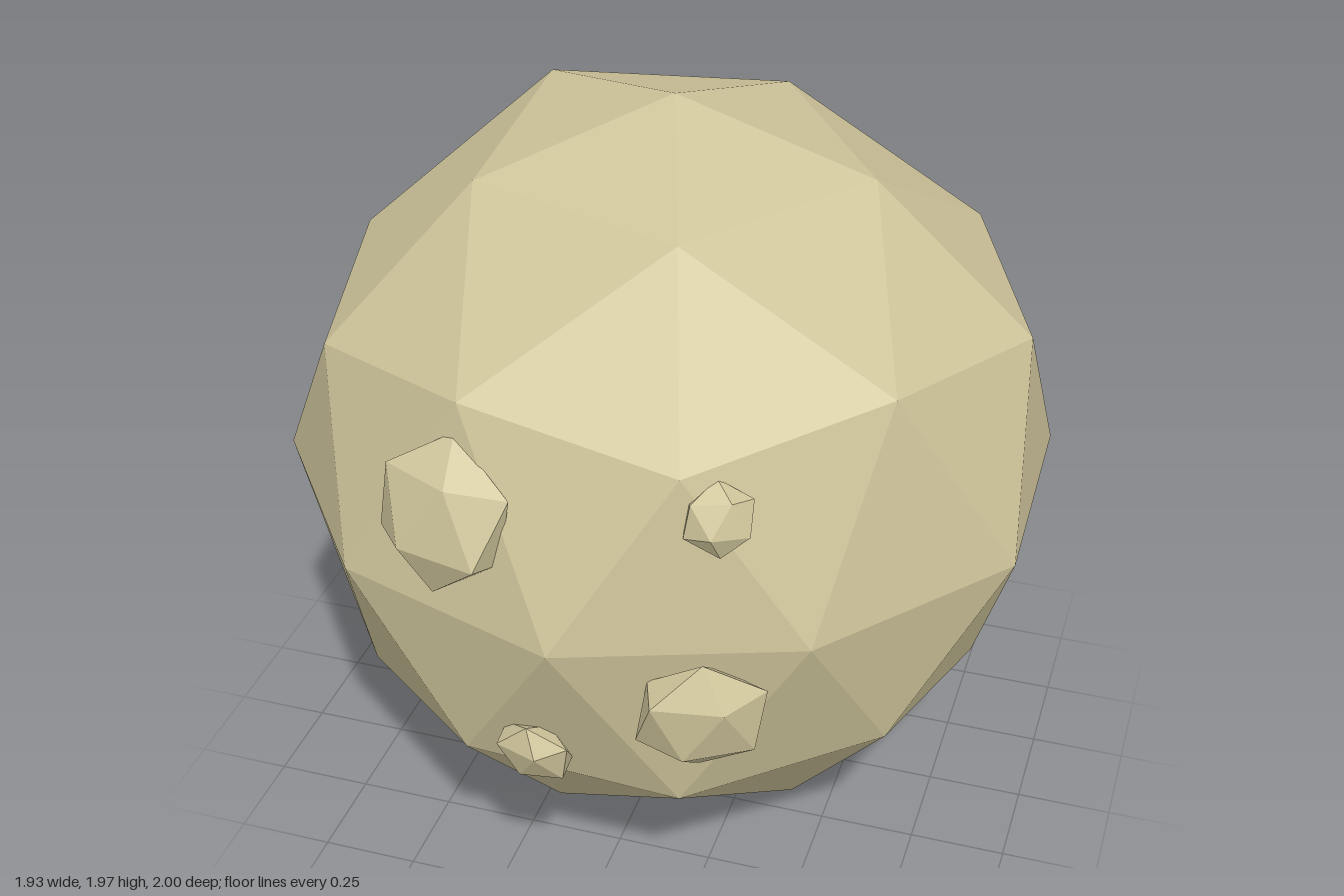
import * as THREE from 'three';
import { ConvexGeometry } from 'three/addons/geometries/ConvexGeometry.js';

const RING = 26.565;   // latitude of the icosahedron's five-corner rings
const CAP = 58.283;    // latitude of the edge midpoints next to a pole
const MID = 31.717;    // latitude of the edge midpoints between ring corners

// Point at a latitude and azimuth (degrees; 0 = +x, 90 = +z).
function polar(lat, az, r) {
  const a = THREE.MathUtils.degToRad(lat), b = THREE.MathUtils.degToRad(az);
  return new THREE.Vector3(
    r * Math.cos(a) * Math.cos(b), r * Math.sin(a), r * Math.cos(a) * Math.sin(b));
}

// Faceted solid from rings of [latitude, first azimuth, radii around the ring].
function facetedBall(rings) {
  const points = [];
  for (const [lat, start, radii] of rings) {
    radii.forEach((r, i) => points.push(polar(lat, start + i * 360 / radii.length, r)));
  }
  return new ConvexGeometry(points);
}

export function createModel() {
  const model = new THREE.Group();
  model.name = 'rockyMoon';
  const stone = new THREE.MeshStandardMaterial({ color: 0xcfc59b });
  stone.name = 'sandStone';

  // Main body: once-subdivided icosahedron with slightly uneven radii
  const body = new THREE.Mesh(facetedBall([
    [90, 0, [0.985]],
    [CAP, 0, [0.97, 0.977, 0.975, 1.02, 0.985]],
    [RING, 0, [1.025, 1.0, 1.01, 1.0, 1.0]],
    [MID, 36, [0.995, 1.01, 0.988, 1.0, 1.0]],
    [0, 18, [1.015, 0.98, 1.0, 1.0, 1.013, 1.008, 0.995, 1.0, 0.995, 1.0]],
    [-MID, 0, [0.978, 0.99, 0.99, 1.0, 1.0]],
    [-RING, 36, [0.98, 1.0, 1.0, 1.0, 0.97]],
    [-CAP, 36, [1.005, 1.01, 1.015, 1.01, 1.0]],
    [-90, 0, [0.982]],
  ]), stone);
  body.name = 'moonBody';
  body.position.y = 0.985;
  model.add(body);

  // Bumps: icosahedra flattened along the surface normal
  const five = [1, 1, 1, 1, 1];
  const bumpShape = facetedBall([[90, 0, [1]], [RING, 0, five], [-RING, 36, five], [-90, 0, [1]]]);
  const bumps = [
    ['largeBump', -0.29, 1.245, 0.87, 0.2, 0.5],
    ['mediumBump', 0.34, 0.81, 0.885, 0.172, 0.5],
    ['lowerBump', -0.08, 0.605, 0.89, 0.108, 0.55],
    ['smallBump', 0.36, 1.33, 0.825, 0.092, 0.6],
  ];
  for (const [name, x, y, z, r, flat] of bumps) {
    const bump = new THREE.Mesh(bumpShape, stone);
    bump.name = name;
    bump.position.set(x, y, z);
    bump.lookAt(x * 2, y * 2 - 0.985, z * 2);
    bump.scale.set(r, r, r * flat);
    model.add(bump);
  }
  return model;
}
